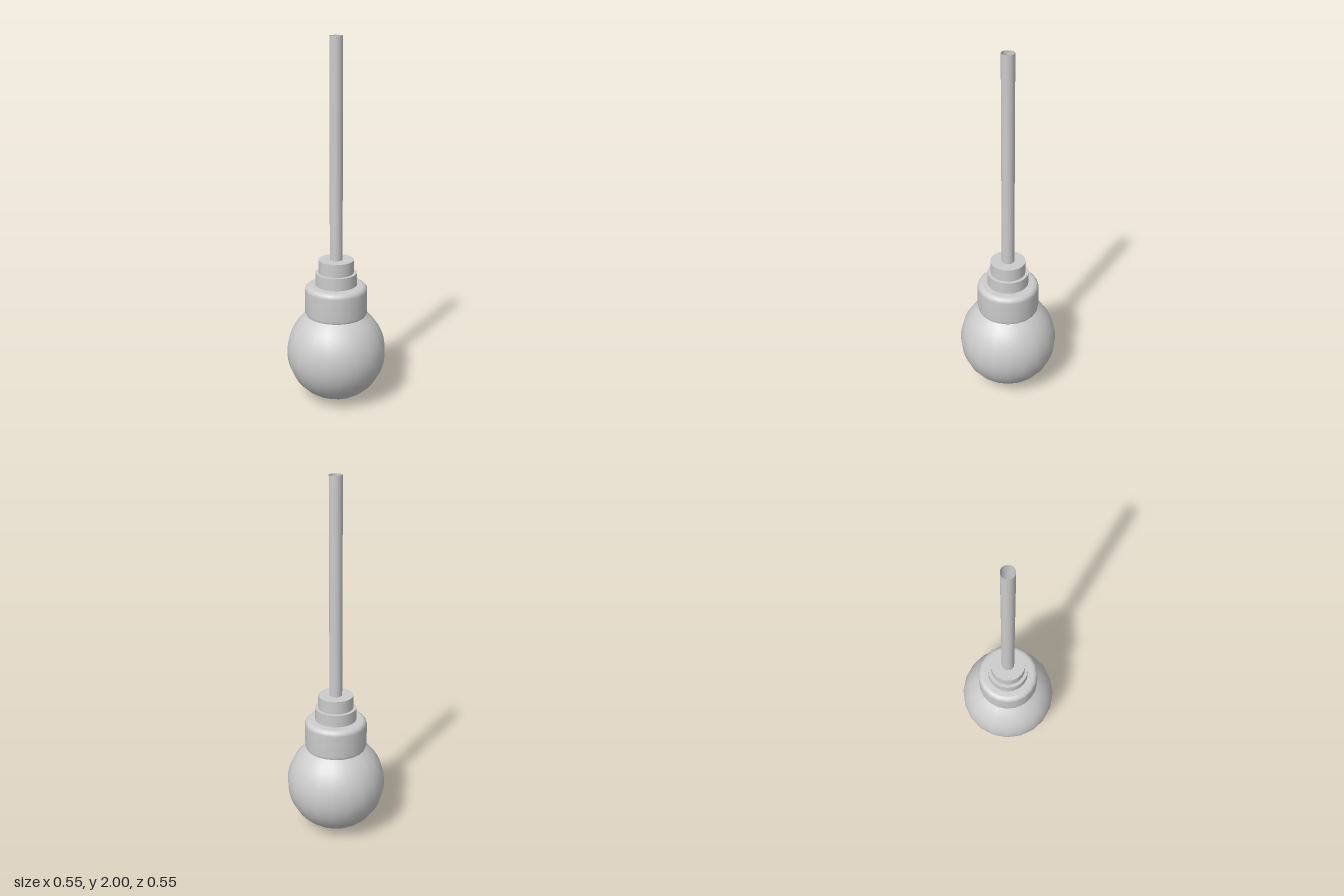
import * as THREE from 'three';

const SIDES = 20;

export function createModel() {
  const model = new THREE.Group();
  const material = new THREE.MeshStandardMaterial({ color: 0xcccccc, side: THREE.DoubleSide });

  const add = (name, geometry, y = 0) => {
    const mesh = new THREE.Mesh(geometry, material);
    mesh.name = name;
    mesh.position.y = y;
    model.add(mesh);
  };
  // Upright cylinder between two heights
  const cylinder = (name, radius, bottom, top, open = false) =>
    add(name, new THREE.CylinderGeometry(radius, radius, top - bottom, SIDES, 1, open), (bottom + top) / 2);

  // Globe: sphere profile from the bottom pole up to the neck
  const R = 0.275, NECK = 0.172;
  const profile = [];
  const end = Math.PI - Math.asin(0.166 / R);
  for (let i = 0; i <= 18; i++) {
    const a = (end * i) / 18;
    profile.push(new THREE.Vector2(R * Math.sin(a), R - R * Math.cos(a)));
  }
  add('globe', new THREE.LatheGeometry(profile, SIDES));

  // Neck: straight wall with a rounded shoulder
  const neck = [[0.166, 0.493], [NECK, 0.51], [NECK, 0.635]].map(p => new THREE.Vector2(...p));
  for (let i = 1; i <= 5; i++) {
    const a = (Math.PI / 2) * (i / 5);
    neck.push(new THREE.Vector2(NECK - 0.03 + 0.03 * Math.cos(a), 0.635 + 0.03 * Math.sin(a)));
  }
  neck.push(new THREE.Vector2(0.1, 0.667));
  add('neck', new THREE.LatheGeometry(neck, SIDES));

  // Stepped socket and hanging cord
  cylinder('socketRing', 0.115, 0.66, 0.735);
  cylinder('socketCap', 0.097, 0.73, 0.808);
  cylinder('cord', 0.035, 0.8, 2, true);

  return model;
}
